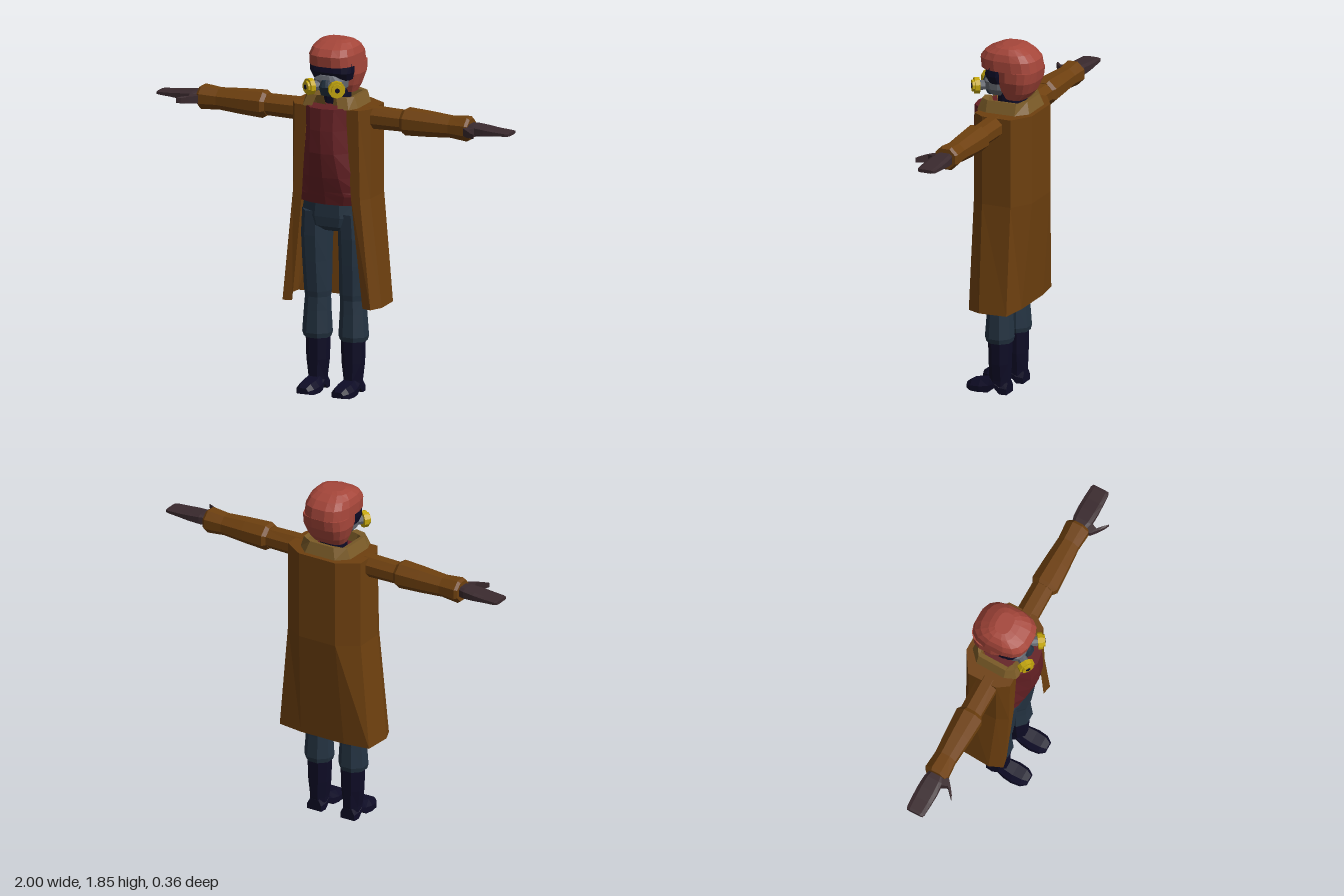
import * as THREE from 'three';

const mat = (name, color, side = THREE.FrontSide) => {
  const m = new THREE.MeshStandardMaterial({ color, flatShading: true, side });
  m.name = name;
  return m;
};

// Octagon-like ring (exponent k < 1 squares it off), scaled to its half extents
function loop(n, ra, rb, k = 1) {
  const pts = [];
  const f = k === 1 ? 1 / Math.cos(Math.PI / n) : 1;
  const pw = v => Math.sign(v) * Math.abs(v) ** k;
  for (let i = 0; i < n; i++) {
    const t = ((i + 0.5) / n) * Math.PI * 2;
    pts.push([pw(Math.cos(t)) * ra * f, pw(Math.sin(t)) * rb * f]);
  }
  return pts;
}
const ringY = (cx, y, cz, rx, rz, n = 8, k = 1) => loop(n, rx, rz, k).map(([a, b]) => [cx + a, y, cz + b]);
const ringX = (x, cy, cz, ry, rz, n = 8, k = 1) => loop(n, ry, rz, k).map(([a, b]) => [x, cy + a, cz + b]);

// Skin through cross-sections; faces are turned outward by signed volume
function loft(sections, { open = false, capStart = true, capEnd = true } = {}) {
  const tris = [];
  const n = sections[0].length;
  for (let s = 0; s < sections.length - 1; s++) {
    for (let i = 0; i < (open ? n - 1 : n); i++) {
      const j = (i + 1) % n, A = sections[s], B = sections[s + 1];
      tris.push([A[i], B[i], B[j]], [A[i], B[j], A[j]]);
    }
  }
  const cap = (ring, flip) => {
    const c = [0, 1, 2].map(k => ring.reduce((sum, p) => sum + p[k], 0) / n);
    ring.forEach((p, i) => {
      const q = ring[(i + 1) % n];
      tris.push(flip ? [c, q, p] : [c, p, q]);
    });
  };
  if (capStart) cap(sections[0], false);
  if (capEnd) cap(sections[sections.length - 1], true);
  const V = p => new THREE.Vector3(...p);
  const mid = V(sections[0][0]).lerp(V(sections.at(-1)[n >> 1]), 0.5);
  let vol = 0;
  for (const t of tris) {
    const [a, b, c] = t.map(p => V(p).sub(mid));
    vol += a.dot(b.cross(c));
  }
  if (vol < 0) tris.forEach(t => t.reverse());
  const g = new THREE.BufferGeometry();
  g.setAttribute('position', new THREE.Float32BufferAttribute(tris.flat(2), 3));
  g.computeVertexNormals();
  return g;
}

export function createModel() {
  const root = new THREE.Group();
  root.name = 'maskedFigure';
  const coat = mat('coat brown', 0x6e400f, THREE.DoubleSide);
  const collarTan = mat('collar tan', 0x7c5c28, THREE.DoubleSide);
  const red = mat('helmet red', 0xa5463a);
  const shirt = mat('shirt maroon', 0x642024);
  const denim = mat('trouser blue', 0x243342);
  const navy = mat('boot navy', 0x0e0c26);
  const glove = mat('glove brown', 0x3a2a2e);
  const grey = mat('mask grey', 0x646870);
  const yellow = mat('filter yellow', 0xc4a60c);

  const add = (name, geo, material, parent = root) => {
    const m = new THREE.Mesh(geo, material);
    m.name = name;
    parent.add(m);
    return m;
  };
  const mirrorX = (pts, s) => pts.map(([x, y, z]) => [x * s, y, z]);

  // Open profile of [x, z] points from the front edge to the back, mirrored to the other edge
  const wrap = (y, half) => [
    ...half.map(([x, z]) => [x, y, z]),
    ...half.slice(0, -1).reverse().map(([x, z]) => [-x, y, z]),
  ];

  // Long open coat with flat shoulders
  add('coat', loft([
    wrap(1.51, [[0.11, 0.11], [0.18, 0.11], [0.22, 0.05], [0.22, -0.11], [0.11, -0.18], [0, -0.18]]),
    wrap(1.04, [[0.14, 0.11], [0.19, 0.11], [0.22, 0.05], [0.22, -0.11], [0.11, -0.18], [0, -0.18]]),
    wrap(0.47, [[0.2, 0.1], [0.25, 0.11], [0.28, 0.04], [0.27, -0.11], [0.13, -0.13], [0, -0.13]]),
  ], { open: true, capEnd: false }), coat);

  // Standing collar, open in front
  const collarRing = (y, d) => wrap(y, [[0.075 - d, 0.13 - d], [0.13 - d, 0.12 - d], [0.155 - d, 0.06],
    [0.15 - d, -0.1], [0.09 - d, -0.155 + d], [0, -0.155 + d]]);
  add('collar', loft([collarRing(1.51, 0), collarRing(1.57, 0.02), collarRing(1.565, 0.045), collarRing(1.515, 0.055)],
    { open: true, capStart: false, capEnd: false }), collarTan);

  // Shirt with a flared hem
  const shirtRing = (y, w, zf) => {
    const half = [[0, zf], [w * 0.55, zf - 0.012], [w, zf * 0.6], [w, -0.05], [w * 0.6, -0.1]];
    return [...half.map(([x, z]) => [x, y, z]), ...half.slice(1).reverse().map(([x, z]) => [-x, y, z])];
  };
  add('shirt', loft([shirtRing(1.515, 0.12, 0.175), shirtRing(1.4, 0.115, 0.182), shirtRing(1.28, 0.125, 0.18),
    shirtRing(1.15, 0.155, 0.158), shirtRing(1.07, 0.175, 0.135), shirtRing(1.05, 0.19, 0.13),
    shirtRing(1.0, 0.165, 0.118)]), shirt);

  // Neck and hips
  add('neck', loft([ringY(0, 1.5, -0.02, 0.065, 0.07), ringY(0, 1.62, -0.02, 0.065, 0.07)]), navy);
  add('hips', loft([ringY(0, 1.03, 0, 0.155, 0.1), ringY(0, 0.93, 0, 0.172, 0.105),
    ringY(0, 0.88, 0, 0.15, 0.1), ringY(0, 0.85, 0, 0.07, 0.06)]), denim);

  for (const s of [1, -1]) {
    const side = new THREE.Group();
    side.name = s > 0 ? 'leftLimbs' : 'rightLimbs';
    root.add(side);
    const part = (name, sections, material) => add(name, loft(sections.map(r => mirrorX(r, s))), material, side);

    // Trouser leg with a cuff over the boot
    part('trouserLeg', [
      [0.95, 0.1, 0.072, 0.09], [0.82, 0.105, 0.074, 0.088], [0.68, 0.104, 0.07, 0.078], [0.52, 0.1, 0.066, 0.065],
      [0.49, 0.1, 0.062, 0.06], [0.42, 0.102, 0.066, 0.062], [0.3, 0.103, 0.073, 0.07], [0.275, 0.103, 0.066, 0.064],
    ].map(([y, cx, rx, rz]) => ringY(cx, y, 0.004, rx, rz)), denim);

    // Boot shaft, then the foot as upright slices from heel to toe
    part('bootShaft', [[0.3, 0.06, 0.058], [0.16, 0.056, 0.055], [0.07, 0.045, 0.053], [0.04, 0.045, 0.05]]
      .map(([y, rx, rz]) => ringY(0.1, y, 0.003, rx, rz)), navy);
    part('bootFoot', [
      [-0.05, 0.0, 0.06, 0.042], [-0.012, 0.0, 0.07, 0.046], [0.018, 0.03, 0.075, 0.046], [0.05, 0.004, 0.072, 0.05],
      [0.1, 0.0, 0.062, 0.056], [0.15, 0.0, 0.054, 0.05], [0.18, 0.006, 0.036, 0.03],
    ].map(([z, lo, hi, w]) => [[0.1 - w, lo, z], [0.1 + w, lo, z], [0.1 + w, (lo + hi) / 2, z],
      [0.1 + w * 0.6, hi, z], [0.1 - w * 0.6, hi, z], [0.1 - w, (lo + hi) / 2, z]]), navy);

    // Upper sleeve and wider lower sleeve
    part('upperSleeve', [[0.19, 0.056, 0.058], [0.41, 0.052, 0.056]]
      .map(([x, ry, rz]) => ringX(x, 1.457, -0.006, ry, rz)), coat);
    part('lowerSleeve', [[0.385, 0.056, 0.058], [0.405, 0.068, 0.072], [0.53, 0.062, 0.066], [0.66, 0.053, 0.057],
      [0.755, 0.062, 0.064], [0.77, 0.052, 0.054]]
      .map(([x, ry, rz]) => ringX(x, 1.457, -0.004, ry, rz)), coat);

    // Flat gloved hand and thumb
    part('hand', [[0.76, 0.03, 0.04], [0.8, 0.03, 0.052], [0.86, 0.024, 0.056], [0.92, 0.016, 0.055], [0.985, 0.011, 0.052],
      [1.0, 0.009, 0.046]].map(([x, ry, rz]) => ringX(x, 1.459, 0, ry, rz, 8, 0.5)), glove);
    part('thumb', [[0.79, 0.03, 0.024], [0.775, 0.075, 0.02], [0.81, 0.105, 0.018], [0.835, 0.125, 0.012]]
      .map(([x, z, r]) => [[x - r, 1.455 - r, z - r * 0.4], [x + r, 1.455 - r, z + r * 0.4],
        [x + r, 1.455 + r, z + r * 0.4], [x - r, 1.455 + r, z - r * 0.4]]), glove);

    // Breathing filter, turned outward, with a dark port
    const filter = new THREE.Group();
    filter.name = 'filter';
    filter.position.set(s * 0.073, 1.62, 0.142);
    filter.rotation.y = s * 0.6;
    root.add(filter);
    const disc = (name, r, len, z, m, n = 10) =>
      add(name, new THREE.CylinderGeometry(r, r, len, n).rotateX(Math.PI / 2).translate(0, 0, z), m, filter);
    disc('filterStem', 0.026, 0.07, -0.03, grey, 8);
    disc('filterCan', 0.044, 0.026, 0.006, yellow);
    disc('filterFace', 0.032, 0.014, 0.024, yellow);
    disc('filterPort', 0.013, 0.004, 0.032, navy, 8);
  }

  // Helmet dome with a brim, and a lower shell set back from the face
  const helm = ([y, rx, zb, zf]) => ringY(0, y, (zb + zf) / 2, rx, (zf - zb) / 2, 16, 0.72);
  add('helmetDome', loft([[1.725, 0.126, -0.178, 0.135], [1.78, 0.124, -0.168, 0.142], [1.815, 0.112, -0.135, 0.115],
    [1.84, 0.088, -0.09, 0.06], [1.85, 0.06, -0.06, 0.025]].map(helm)), red);
  add('helmetShell', loft([[1.726, 0.126, -0.178, 0.045], [1.67, 0.127, -0.17, 0.04], [1.61, 0.108, -0.145, 0.025],
    [1.57, 0.09, -0.11, 0.0]].map(helm)), red);

  // Goggles, mask and its dark centre piece
  add('goggles', loft([[1.74, 0.118, -0.02, 0.1], [1.69, 0.118, -0.02, 0.108], [1.65, 0.105, -0.02, 0.085]].map(helm)), navy);
  add('mask', loft([[1.675, 0.05, -0.02, 0.115], [1.65, 0.088, -0.02, 0.122], [1.61, 0.085, -0.02, 0.12],
    [1.575, 0.055, -0.02, 0.095]].map(helm)), grey);
  add('maskCentre', loft([[1.655, 0.022, 0.05, 0.135], [1.62, 0.038, 0.05, 0.145], [1.57, 0.04, 0.05, 0.115]].map(helm)), denim);

  return root;
}
